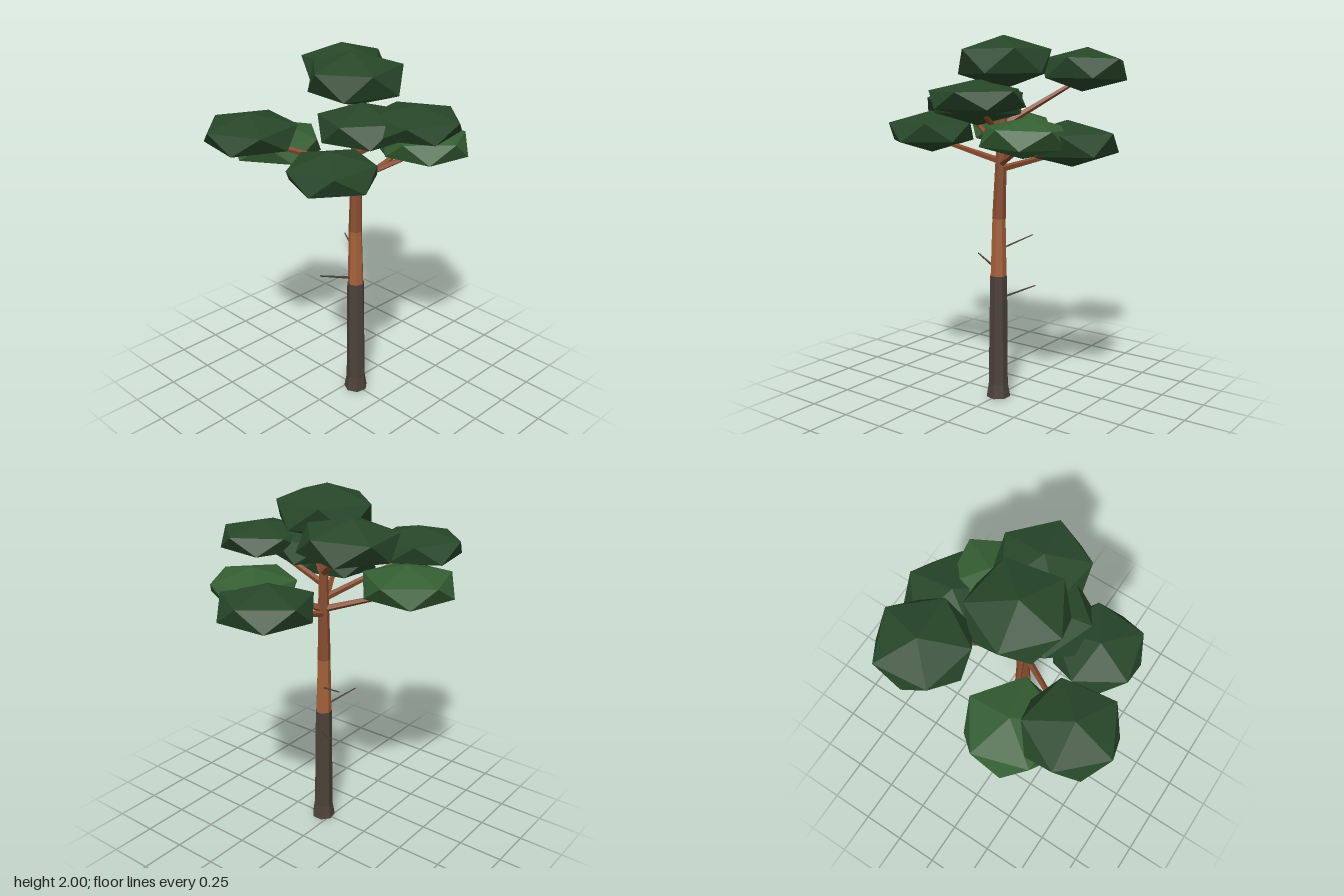
import * as THREE from 'three';

const mat = (color) => new THREE.MeshStandardMaterial({ color, flatShading: true, roughness: 1 });

export function createModel() {
  const tree = new THREE.Group();
  tree.name = 'pineTree';
  const darkBark = mat(0x4d423b), midBark = mat(0xa5613b), upperBark = mat(0x8a4e30);
  const darkLeaf = mat(0x274729), lightLeaf = mat(0x355f33);
  const UP = new THREE.Vector3(0, 1, 0);

  const add = (name, geometry, material, parent = tree) => {
    const mesh = new THREE.Mesh(geometry, material);
    mesh.name = name;
    parent.add(mesh);
    return mesh;
  };

  // Tapered limb between two points
  const limb = (name, a, b, r0, r1, sides, material, parent) => {
    const from = new THREE.Vector3(...a), to = new THREE.Vector3(...b);
    const dir = to.clone().sub(from);
    const mesh = add(name, new THREE.CylinderGeometry(r1, r0, dir.length(), sides), material, parent);
    mesh.position.copy(from).add(to).multiplyScalar(0.5);
    mesh.quaternion.setFromUnitVectors(UP, dir.normalize());
    return mesh;
  };

  // Trunk section whose rings stay level while the axis drifts: rings are [x, y, z, radius]
  const trunkSection = (name, rings, material) => {
    const sides = 7, pos = [], idx = [];
    for (const [x, y, z, r] of rings) {
      for (let i = 0; i < sides; i++) {
        const t = (i / sides) * Math.PI * 2;
        pos.push(x + r * Math.sin(t), y, z + r * Math.cos(t));
      }
    }
    for (let k = 0; k < rings.length - 1; k++) {
      for (let i = 0; i < sides; i++) {
        const a = k * sides + i, b = k * sides + ((i + 1) % sides);
        idx.push(a, b, b + sides, a, b + sides, a + sides);
      }
    }
    const last = (rings.length - 1) * sides;
    for (let i = 1; i < sides - 1; i++) {
      idx.push(0, i + 1, i, last, last + i, last + i + 1);
    }
    const g = new THREE.BufferGeometry();
    g.setAttribute('position', new THREE.Float32BufferAttribute(pos, 3));
    g.setIndex(idx);
    g.computeVertexNormals();
    add(name, g, material);
  };

  // Trunk: dark flared base, bright middle, darker top
  trunkSection('lowerTrunk', [[0.05, 0, 0, 0.068], [0.051, 0.08, 0, 0.055], [0.047, 0.7, 0, 0.048]], darkBark);
  trunkSection('middleTrunk', [[0.047, 0.7, 0, 0.045], [0.043, 1.02, 0, 0.037]], midBark);
  trunkSection('upperTrunk', [[0.043, 1.02, 0, 0.038], [0.038, 1.33, -0.01, 0.031], [0.025, 1.78, -0.02, 0.02]], upperBark);

  // Dead twigs on the trunk
  const twigs = new THREE.Group();
  twigs.name = 'deadTwigs';
  tree.add(twigs);
  [
    [[0.03, 0.855, -0.02], [-0.14, 0.91, -0.1]],
    [[0.035, 0.735, 0.03], [-0.03, 0.785, 0.2]],
    [[0.03, 0.58, -0.03], [-0.11, 0.63, -0.14]],
  ].forEach(([a, b]) => limb('twig', a, b, 0.007, 0.004, 4, darkBark, twigs));

  // Foliage pads: centre, radius, half height, yaw, tilts, material, height where the branch leaves the trunk
  const pads = [
    [[0.02, 1.86, -0.02], 0.25, 0.14, -6, 0.04, 0.03, darkLeaf, 0],
    [[-0.34, 1.82, -0.30], 0.235, 0.12, 24, 0, 0.1, darkLeaf, 1.52],
    [[0.05, 1.455, -0.45], 0.245, 0.118, 40, 0.06, 0, darkLeaf, 1.29],
    [[0.25, 1.49, -0.32], 0.23, 0.105, 10, -0.05, 0.04, lightLeaf, 1.32],
    [[0.36, 1.68, -0.10], 0.24, 0.095, 30, 0, -0.04, darkLeaf, 1.46],
    [[0.21, 1.49, 0.33], 0.23, 0.11, 50, 0.05, 0.05, darkLeaf, 1.33],
    [[0.15, 1.65, 0.05], 0.235, 0.12, 15, 0, 0.05, darkLeaf, 1.5],
    [[-0.36, 1.48, 0.20], 0.245, 0.115, 35, -0.06, 0, lightLeaf, 1.32],
    [[-0.255, 1.615, 0.455], 0.24, 0.108, -9, 0.04, -0.04, darkLeaf, 1.38],
  ];
  const phi = (1 + Math.sqrt(5)) / 2;
  const branches = new THREE.Group(), foliage = new THREE.Group();
  branches.name = 'branches';
  foliage.name = 'foliage';
  tree.add(branches, foliage);

  pads.forEach(([c, r, h, yaw, tx, tz, material, start]) => {
    // Icosahedron standing on a corner, flattened
    const g = new THREE.IcosahedronGeometry(1, 0);
    g.rotateX(-Math.atan(phi));
    g.rotateY(THREE.MathUtils.degToRad(yaw));
    g.rotateX(tx).rotateZ(tz);
    g.scale(r / 0.89, h, r / 0.89);
    add('foliagePad', g, material, foliage).position.set(...c);
    if (start) {
      limb('branch', [0.035, start, -0.01], [c[0], c[1] - h * 0.3, c[2]], 0.02, 0.011, 5, upperBark, branches);
    }
  });

  return tree;
}
